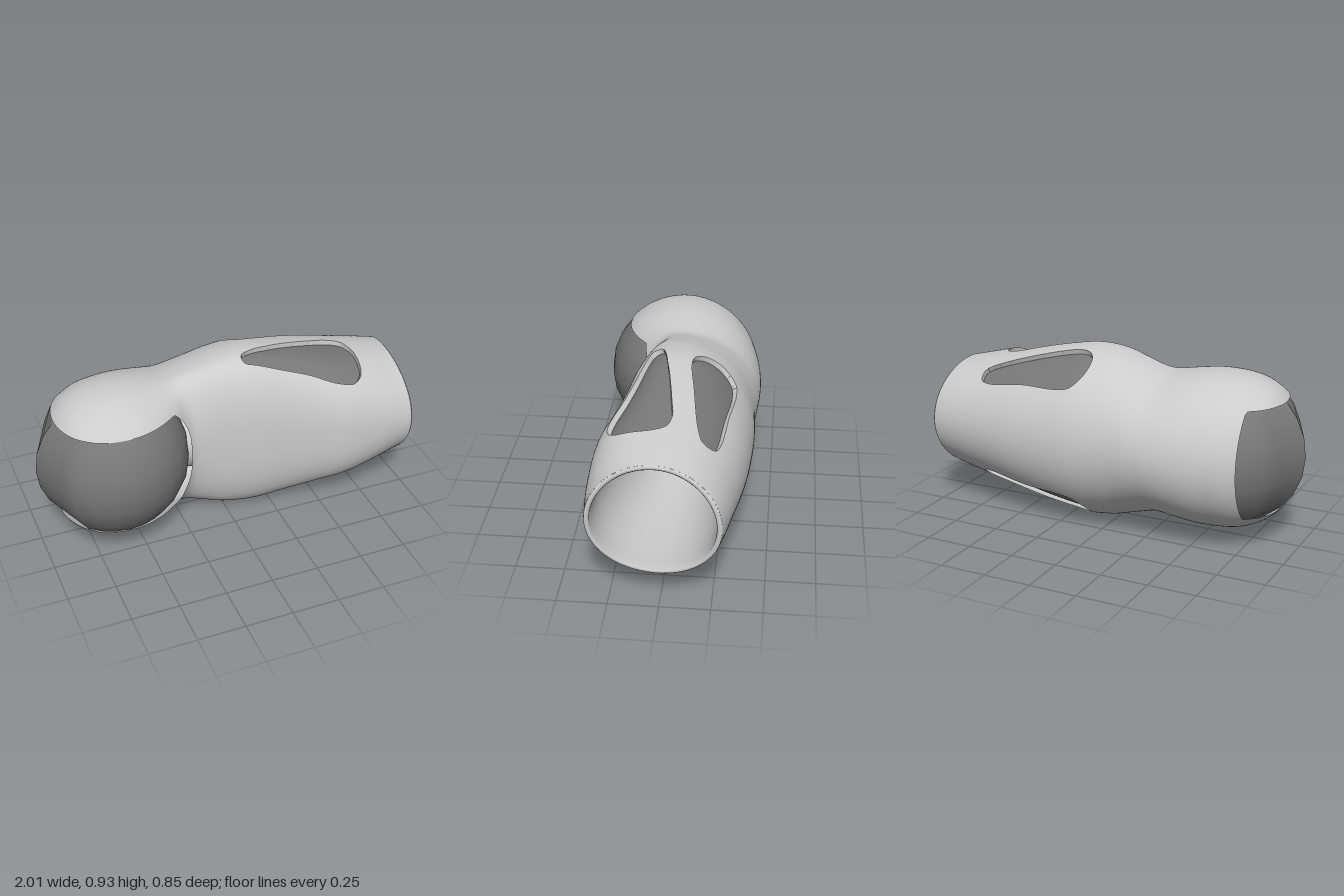
import * as THREE from 'three';
import { mergeVertices } from 'three/addons/utils/BufferGeometryUtils.js';

const MID = 0.47, RIDGE = 0.02, DEPTH = 0.027, TAU = Math.PI * 2;
const { smoothstep, clamp } = THREE.MathUtils;

// Sleeve cross-sections: x, back z, front z, half height
const SECTIONS = [
  [-0.94, -0.19, 0.25, 0.22], [-0.85, -0.29, 0.35, 0.322], [-0.77, -0.343, 0.4, 0.372],
  [-0.7, -0.38, 0.425, 0.395], [-0.6, -0.402, 0.434, 0.406], [-0.5, -0.418, 0.42, 0.405],
  [-0.4, -0.424, 0.372, 0.392], [-0.3, -0.422, 0.282, 0.378], [-0.25, -0.418, 0.222, 0.381],
  [-0.2, -0.414, 0.19, 0.395], [-0.1, -0.406, 0.195, 0.425], [0, -0.406, 0.215, 0.452],
  [0.15, -0.411, 0.25, 0.465], [0.3, -0.405, 0.275, 0.447], [0.45, -0.393, 0.315, 0.418],
  [0.6, -0.372, 0.36, 0.383], [0.8, -0.335, 0.367, 0.338], [0.95, -0.298, 0.352, 0.302],
];

// Smooth interpolation of the sections
function section(x) {
  const n = SECTIONS.length;
  let i = 0;
  while (i < n - 2 && x > SECTIONS[i + 1][0]) i++;
  const a = SECTIONS[i], b = SECTIONS[i + 1], h = b[0] - a[0];
  const t = clamp((x - a[0]) / h, 0, 1);
  const slope = (j, c) => {
    const p = SECTIONS[Math.max(j - 1, 0)], q = SECTIONS[Math.min(j + 1, n - 1)];
    return (q[c] - p[c]) / (q[0] - p[0]);
  };
  return [1, 2, 3].map((c) => {
    const m0 = slope(i, c) * h, m1 = slope(i + 1, c) * h, t2 = t * t, t3 = t2 * t;
    return (2 * t3 - 3 * t2 + 1) * a[c] + (t3 - 2 * t2 + t) * m0 + (3 * t2 - 2 * t3) * b[c] + (t3 - t2) * m1;
  });
}

// The open end is longer at the back and front than at top and bottom
function endShift(u, th) {
  const c = Math.cos(th);
  return smoothstep(u, 0.72, 0.95) * (0.035 * c * c - 0.015 * c);
}

// Sleeve point: a round back half and a squarer front half meet along the ridge
function surface(u, th, depth = 0) {
  const [back, front, hy] = section(u), c = Math.cos(th), s = Math.sin(th);
  const squareness = c > 0 ? 0.5 * smoothstep(u, -0.25, 0) * (1 - smoothstep(u, 0.6, 0.95)) : 0;
  const bend = (v) => Math.sign(v) * Math.abs(v) ** (2 / (2 + squareness));
  const rz = (c > 0 ? front - RIDGE : RIDGE - back) - depth;
  return [u + endShift(u, th), MID + (hy - depth) * bend(s), RIDGE + rz * bend(c)];
}

// Slot outlines seen from above (x, z); they pierce both top and bottom
const closed = (pts) => new THREE.CatmullRomCurve3(
  pts.map(([x, z]) => new THREE.Vector3(x, 0, z)), true, 'centripetal').getPoints(60);
const SLOTS = [
  closed([[0.15, -0.305], [0.23, -0.315], [0.45, -0.29], [0.68, -0.26], [0.725, -0.235], [0.725, -0.185],
    [0.66, -0.157], [0.4, -0.115], [0.21, -0.09], [0.14, -0.105], [0.098, -0.16], [0.1, -0.245]]),
  closed([[0.098, 0.07], [0.1, 0.115], [0.16, 0.14], [0.42, 0.215], [0.56, 0.27], [0.65, 0.28],
    [0.705, 0.24], [0.728, 0.13], [0.722, 0.05], [0.69, -0.01], [0.62, -0.03], [0.53, -0.02], [0.16, 0.045]]),
];

// Signed distance to an outline, positive outside
function outlineDistance(pts, x, z) {
  let d = Infinity, inside = false;
  for (let i = 0; i < pts.length - 1; i++) {
    const a = pts[i], b = pts[i + 1], ex = b.x - a.x, ez = b.z - a.z;
    const t = clamp(((x - a.x) * ex + (z - a.z) * ez) / (ex * ex + ez * ez || 1), 0, 1);
    d = Math.min(d, Math.hypot(x - a.x - ex * t, z - a.z - ez * t));
    if ((a.z > z) !== (b.z > z) && x < a.x + (ex * (z - a.z)) / ez) inside = !inside;
  }
  return inside ? -d : d;
}

const slotField = ([x, , z]) => Math.min(...SLOTS.map((s) => outlineDistance(s, x, z)));

// Window that exposes the ball at the front and around the end
function windowField([x, y], th) {
  const dy = Math.abs(y - MID);
  const edge = Math.cos(th) > 0 ? -0.22 - 0.09 * (dy / 0.28) ** 3 : -0.77;
  return Math.max(dy - 0.28, x - edge);
}

function toGeometry(positions) {
  const g = new THREE.BufferGeometry();
  g.setAttribute('position', new THREE.Float32BufferAttribute(positions, 3));
  const merged = mergeVertices(g, 1e-4);
  merged.computeVertexNormals();
  return merged;
}

// Keep the part of the sleeve where the field is positive; the slots get side walls
function cutSleeve(u0, u1, nu, nv, field, depth) {
  const skin = [], walls = [], grid = [];
  for (let i = 0; i <= nu; i++) {
    grid.push([]);
    for (let j = 0; j <= nv; j++) {
      const u = u0 + ((u1 - u0) * i) / nu, th = (TAU * j) / nv;
      grid[i].push({ u, th, f: field(surface(u, th), th) });
    }
  }
  const at = (p, d) => surface(p.u, p.th, d);
  const clip = (tri) => {
    const poly = [], cut = [];
    tri.forEach((a, k) => {
      const b = tri[(k + 1) % 3];
      if (a.f >= 0) poly.push(a);
      if ((a.f >= 0) !== (b.f >= 0)) {
        const t = a.f / (a.f - b.f);
        const p = { u: a.u + (b.u - a.u) * t, th: a.th + (b.th - a.th) * t };
        poly.push(p);
        cut.push(p);
      }
    });
    for (let k = 1; k < poly.length - 1; k++)
      skin.push(...at(poly[0], depth), ...at(poly[k], depth), ...at(poly[k + 1], depth));
    if (cut.length === 2 && cut[0].u > 0) {
      const [p, q] = cut;
      walls.push(...at(p, 0), ...at(q, 0), ...at(q, DEPTH), ...at(p, 0), ...at(q, DEPTH), ...at(p, DEPTH));
    }
  };
  for (let i = 0; i < nu; i++)
    for (let j = 0; j < nv; j++) {
      const a = grid[i][j], b = grid[i + 1][j], c = grid[i + 1][j + 1], d = grid[i][j + 1];
      clip([a, b, c]);
      clip([a, c, d]);
    }
  return { skin: toGeometry(skin), walls: toGeometry(walls) };
}

// Rounded lip, then a funnel narrowing towards the ball
function funnelGeometry() {
  const lip = [[0.95, 0], [0.957, 0.006], [0.957, 0.018], [0.948, 0.026]]; // station, inset
  const bowl = [ // x, back z, front z, half height
    [0.9, -0.275, 0.325, 0.28], [0.75, -0.285, 0.31, 0.283], [0.55, -0.278, 0.272, 0.278],
    [0.35, -0.26, 0.23, 0.265], [0.2, -0.24, 0.21, 0.25], [0.05, -0.212, 0.192, 0.228],
    [-0.06, -0.185, 0.183, 0.204], [-0.16, -0.155, 0.181, 0.175], [-0.25, -0.122, 0.178, 0.148]];
  const ellipse = ([u, back, front, hy], th) => [u + endShift(u, th),
    MID + hy * Math.sin(th), (back + front) / 2 + ((front - back) / 2) * Math.cos(th)];
  const rows = [...lip.map(([u, d]) => (th) => surface(u, th, d)), ...bowl.map((s) => (th) => ellipse(s, th))];
  const n = 60, pos = [];
  for (let i = 0; i < rows.length - 1; i++)
    for (let j = 0; j < n; j++) {
      const t0 = (TAU * j) / n, t1 = (TAU * (j + 1)) / n;
      const a = rows[i](t0), b = rows[i + 1](t0), c = rows[i + 1](t1), d = rows[i](t1);
      pos.push(...a, ...c, ...b, ...a, ...d, ...c);
    }
  return toGeometry(pos);
}

// Ball whose outer end is flattened to a blunt upright ridge
function ballGeometry() {
  const g = new THREE.SphereGeometry(0.4, 24, 12), p = g.attributes.position;
  for (let i = 0; i < p.count; i++) {
    const x = p.getX(i), z = p.getZ(i), r = Math.hypot(x, z);
    if (x < -Math.SQRT1_2 * r) p.setX(i, -r + Math.abs(z) * (Math.SQRT2 - 1));
  }
  g.computeVertexNormals();
  return g;
}

export function createModel() {
  const group = new THREE.Group();
  const grey = new THREE.MeshStandardMaterial({ color: 0xcccccc, side: THREE.DoubleSide });
  const dark = new THREE.MeshStandardMaterial({ color: 0x777777 });
  const add = (name, geometry, material) => {
    const mesh = new THREE.Mesh(geometry, material);
    mesh.name = name;
    group.add(mesh);
    return mesh;
  };

  // Outer sleeve with its slots and ball window
  const sleeve = cutSleeve(-0.94, 0.95, 130, 132,
    (p, th) => Math.min(slotField(p), windowField(p, th)), 0);
  add('sleeve', sleeve.skin, grey);
  add('slotWalls', sleeve.walls, grey);

  // Dark panels set into the slots
  add('slotPanels', cutSleeve(0.06, 0.76, 60, 132, (p) => -slotField(p), DEPTH).skin, dark);

  // Inner funnel and ball joint
  add('innerFunnel', funnelGeometry(), grey);
  add('ballJoint', ballGeometry(), dark).position.set(-0.6, MID, 0.03);
  return group;
}
